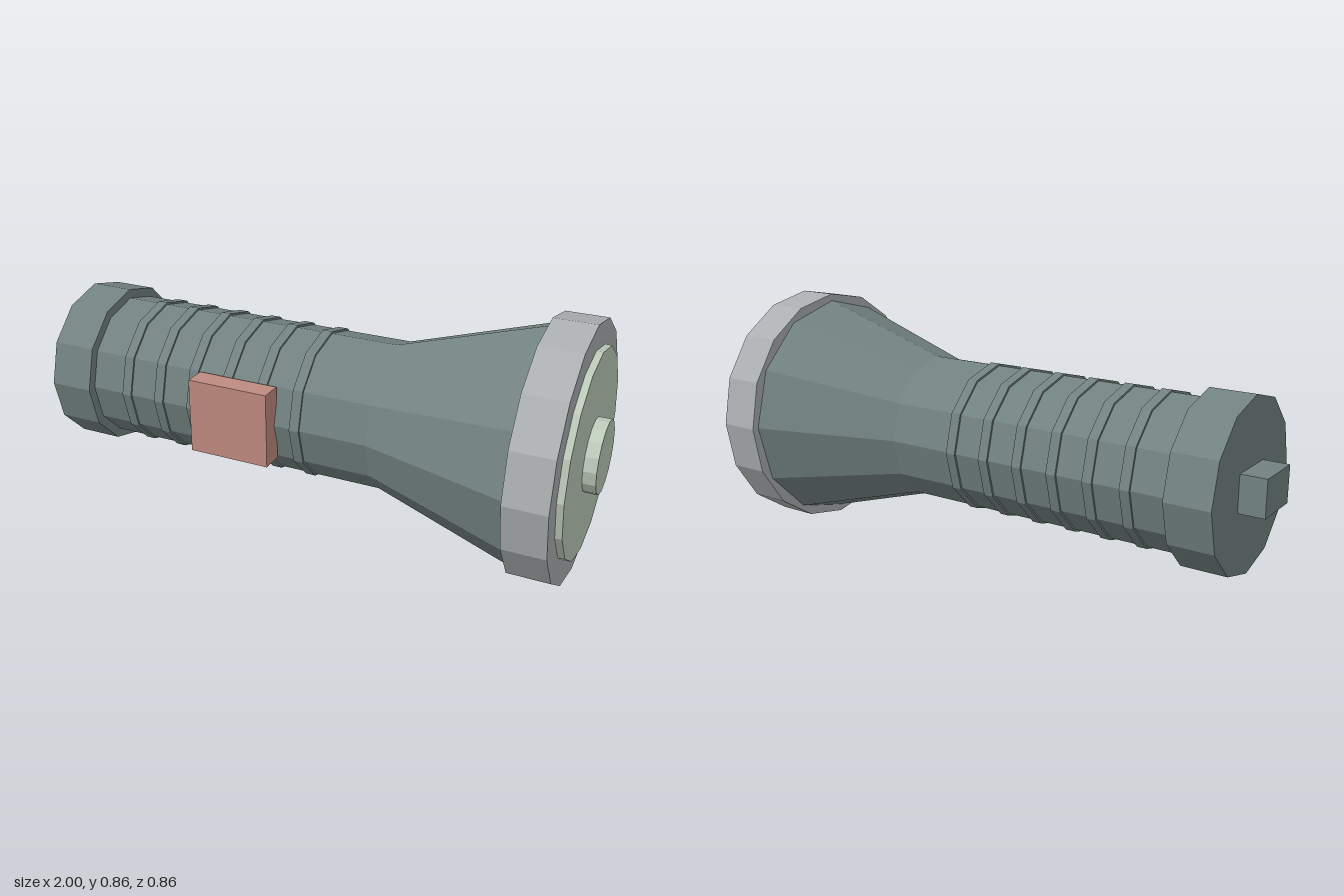
import * as THREE from 'three';

const AXIS_Y = 0.433;

function material(name, color) {
  const m = new THREE.MeshStandardMaterial({ color });
  m.name = name;
  return m;
}

export function createModel() {
  const group = new THREE.Group();
  group.name = 'flashlight';

  const casing = material('casing grey green', 0x728280);
  const metal = material('bezel silver', 0xabafb1);
  const glass = material('lens pale green', 0xbccab9);
  const red = material('switch red', 0xbe8a7f);

  const add = (name, geometry, mat, x, y, z) => {
    const flat = geometry.toNonIndexed(); // faceted low-poly normals
    flat.computeVertexNormals();
    const mesh = new THREE.Mesh(flat, mat);
    mesh.name = name;
    mesh.position.set(x, y, z);
    group.add(mesh);
  };

  // Faceted drum lying along x, from x0 (radius r0) to x1 (radius r1)
  const drum = (name, x0, x1, r0, r1, sides, mat) => {
    const g = new THREE.CylinderGeometry(r1, r0, x1 - x0, sides);
    g.rotateZ(-Math.PI / 2);
    add(name, g, mat, (x0 + x1) / 2, AXIS_Y, 0);
  };

  const box = (name, x0, x1, y0, y1, z0, z1, mat) =>
    add(name, new THREE.BoxGeometry(x1 - x0, y1 - y0, z1 - z0), mat,
      (x0 + x1) / 2, (y0 + y1) / 2, (z0 + z1) / 2);

  // Handle, tail and flared head
  drum('handle', -0.77, 0.29, 0.254, 0.254, 12, casing);
  drum('tailCap', -0.913, -0.758, 0.287, 0.287, 12, casing);
  box('tailTab', -1, -0.9, 0.373, 0.497, -0.097, 0.078, casing);
  drum('flaredHead', 0.29, 0.81, 0.254, 0.412, 12, casing);

  // Grip ridges
  for (let i = 0; i < 6; i++) {
    const x = -0.617 + i * 0.131;
    drum('gripRidge' + (i + 1), x - 0.0175, x + 0.0175, 0.261, 0.261, 12, casing);
  }

  // Bezel, lens and bulb
  drum('bezel', 0.793, 0.935, 0.432, 0.432, 16, metal);
  drum('lens', 0.9, 0.957, 0.351, 0.347, 16, glass);
  drum('bulb', 0.94, 1, 0.122, 0.122, 16, glass);

  // Switch on the front side
  box('switchButton', -0.326, -0.037, 0.305, 0.566, 0.233, 0.31, red);

  return group;
}
